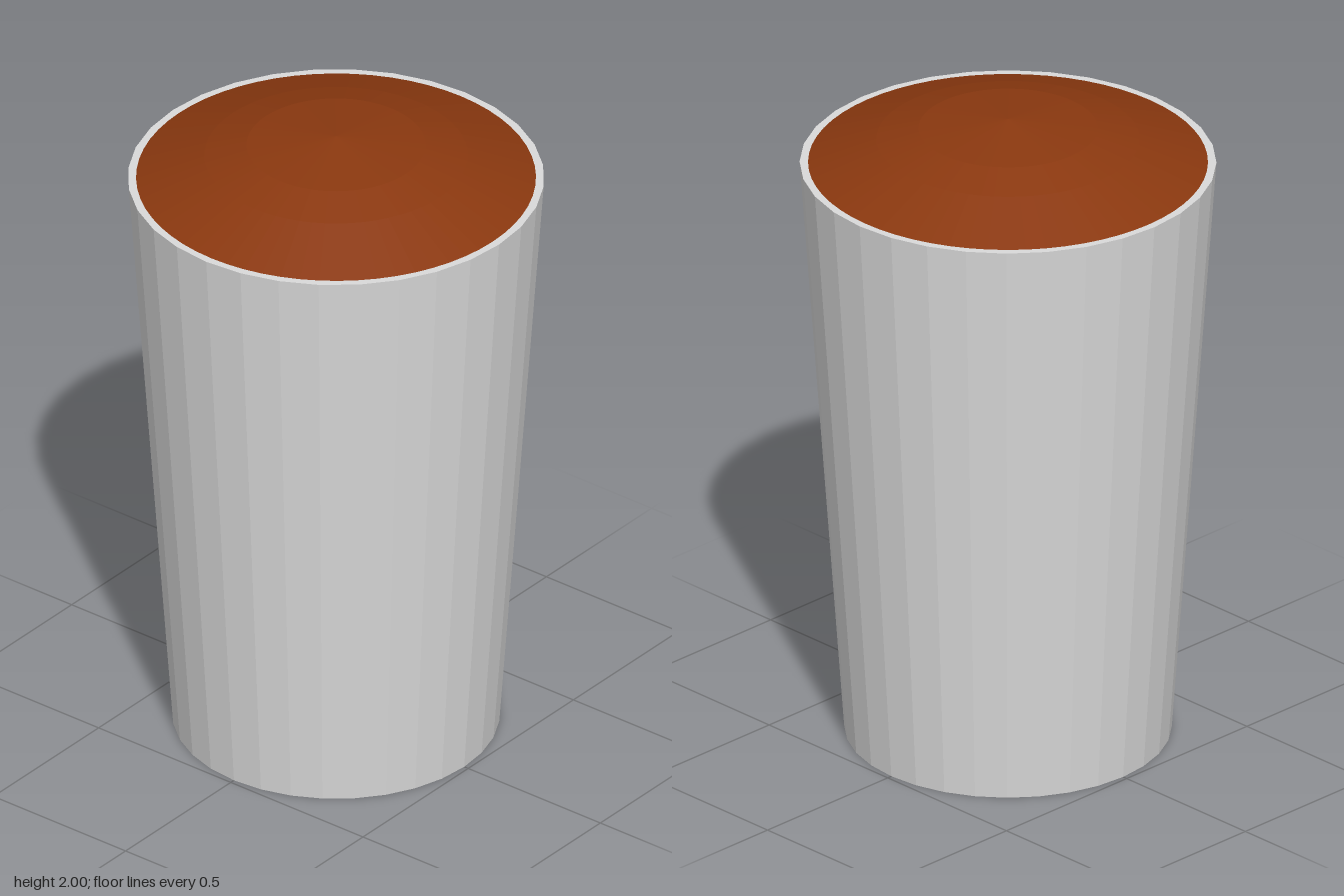
import * as THREE from 'three';

const SIDES = 32;

export function createModel() {
  const model = new THREE.Group();
  const cupGrey = new THREE.MeshStandardMaterial({ color: 0xd9d9d9 });
  cupGrey.name = 'cup grey';
  cupGrey.flatShading = true;
  const drinkBrown = new THREE.MeshStandardMaterial({ color: 0x8a380f });
  drinkBrown.name = 'drink brown';
  drinkBrown.flatShading = true;

  // Revolves a profile of [radius, height] points, listed from bottom to top
  function revolve(name, profile, material, sides) {
    const points = profile.map(([r, y]) => new THREE.Vector2(r, y));
    const mesh = new THREE.Mesh(new THREE.LatheGeometry(points, sides), material);
    mesh.name = name;
    model.add(mesh);
  }

  // Tapered cup: closed base, outer wall, flat rim and a short inner lip
  revolve('cup', [[0, 0], [0.485, 0], [0.617, 1.858], [0.592, 1.858], [0.588, 1.8]], cupGrey, SIDES);

  // Domed filling that meets the inner edge of the rim
  revolve('filling', [[0.592, 1.858], [0.39, 1.934], [0.265, 1.97], [0, 2]], drinkBrown, SIDES * 2);

  return model;
}
